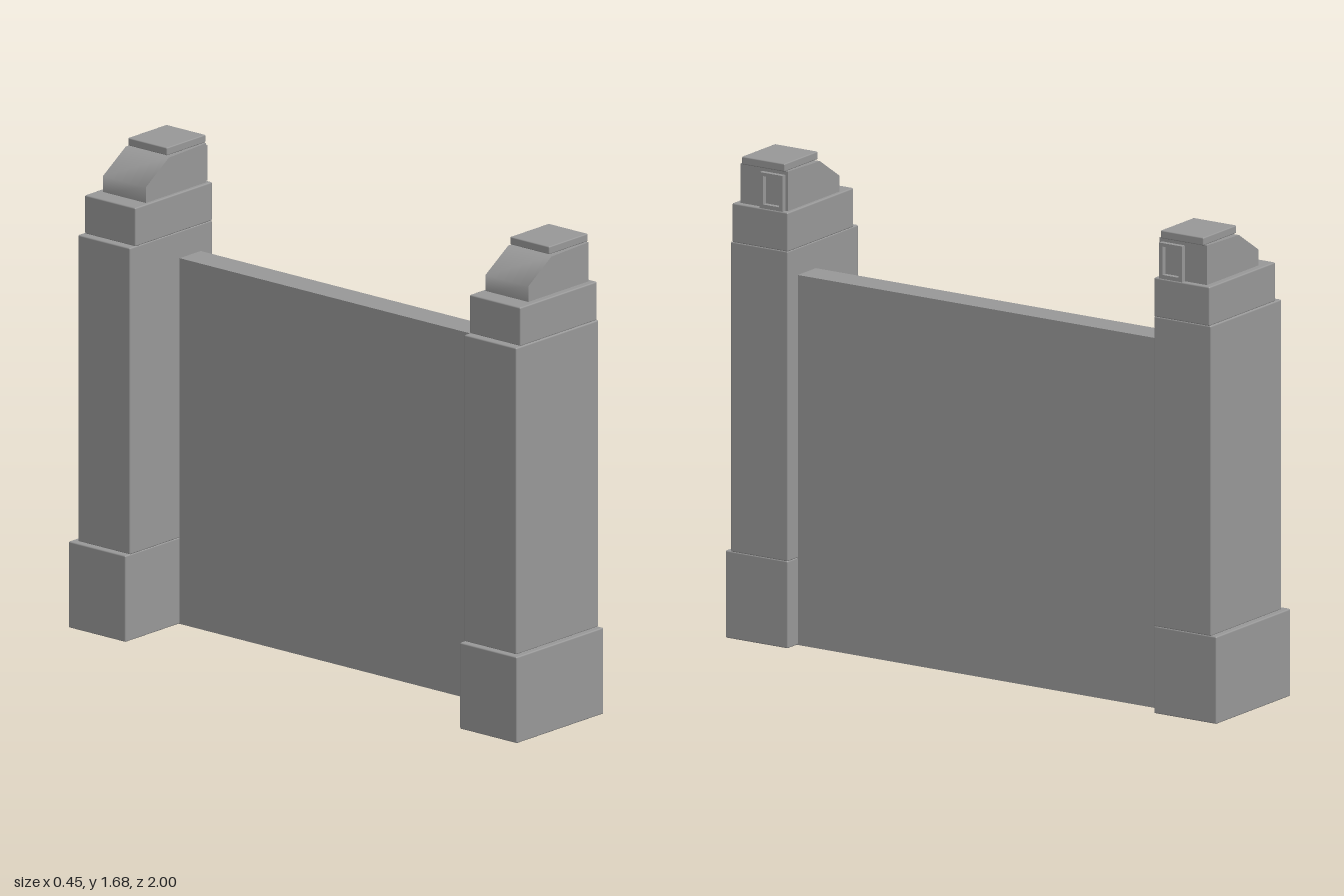
import * as THREE from 'three';
import { toCreasedNormals } from 'three/addons/utils/BufferGeometryUtils.js';
import { RoundedBoxGeometry } from 'three/addons/geometries/RoundedBoxGeometry.js';

const stone = new THREE.MeshStandardMaterial({ color: 0x999999 });
stone.name = 'grey stone';

function add(parent, name, geometry) {
  const mesh = new THREE.Mesh(geometry, stone);
  mesh.name = name;
  parent.add(mesh);
  return mesh;
}

// Block given by its limits; bevel softens the edges slightly.
function block(parent, name, [x0, x1], [y0, y1], [z0, z1], bevel = 0) {
  const size = [x1 - x0, y1 - y0, Math.abs(z1 - z0)];
  const geometry = bevel
    ? new RoundedBoxGeometry(...size, 1, bevel)
    : new THREE.BoxGeometry(...size);
  add(parent, name, geometry).position.set((x0 + x1) / 2, (y0 + y1) / 2, (z0 + z1) / 2);
}

// Pillar at the end of the wall; side is +1 (front) or -1 (back).
function pillar(side) {
  const group = new THREE.Group();
  group.name = side > 0 ? 'frontPillar' : 'backPillar';
  const z = (inner, outer) => [side * inner, side * outer];

  block(group, 'plinth', [-0.223, 0.223], [0, 0.305], z(0.745, 1), 0.005);
  block(group, 'shaft', [-0.2, 0.223], [0.303, 1.385], z(0.745, 0.978), 0.005);
  block(group, 'capital', [-0.172, 0.223], [1.383, 1.52], z(0.745, 0.972), 0.005);

  // Sloped head
  const profile = new THREE.Shape([
    [-0.105, 1.518], [0.205, 1.518], [0.205, 1.658], [0.013, 1.652], [-0.105, 1.575],
  ].map(([x, y]) => new THREE.Vector2(x, y)));
  const head = new THREE.ExtrudeGeometry(profile, { depth: 0.192, bevelEnabled: false });
  add(group, 'head', toCreasedNormals(head, 1.04)).position.z = side > 0 ? 0.757 : -0.949;

  block(group, 'topSlab', [0.013, 0.212], [1.657, 1.685], z(0.765, 0.94), 0.004);

  // Raised window frame on the +x face
  const depth = [0.2, 0.223];
  block(group, 'frameInnerPost', depth, [1.52, 1.645], z(0.767, 0.781));
  block(group, 'frameOuterPost', depth, [1.52, 1.645], z(0.846, 0.86));
  block(group, 'frameLintel', depth, [1.633, 1.645], z(0.781, 0.846));
  block(group, 'frameSill', depth, [1.52, 1.534], z(0.781, 0.846));
  return group;
}

export function createModel() {
  const model = new THREE.Group();
  model.name = 'wallWithPillars';
  block(model, 'wall', [0.055, 0.163], [0, 1.29], [-0.75, 0.75]);
  for (const side of [1, -1]) model.add(pillar(side));
  return model;
}
